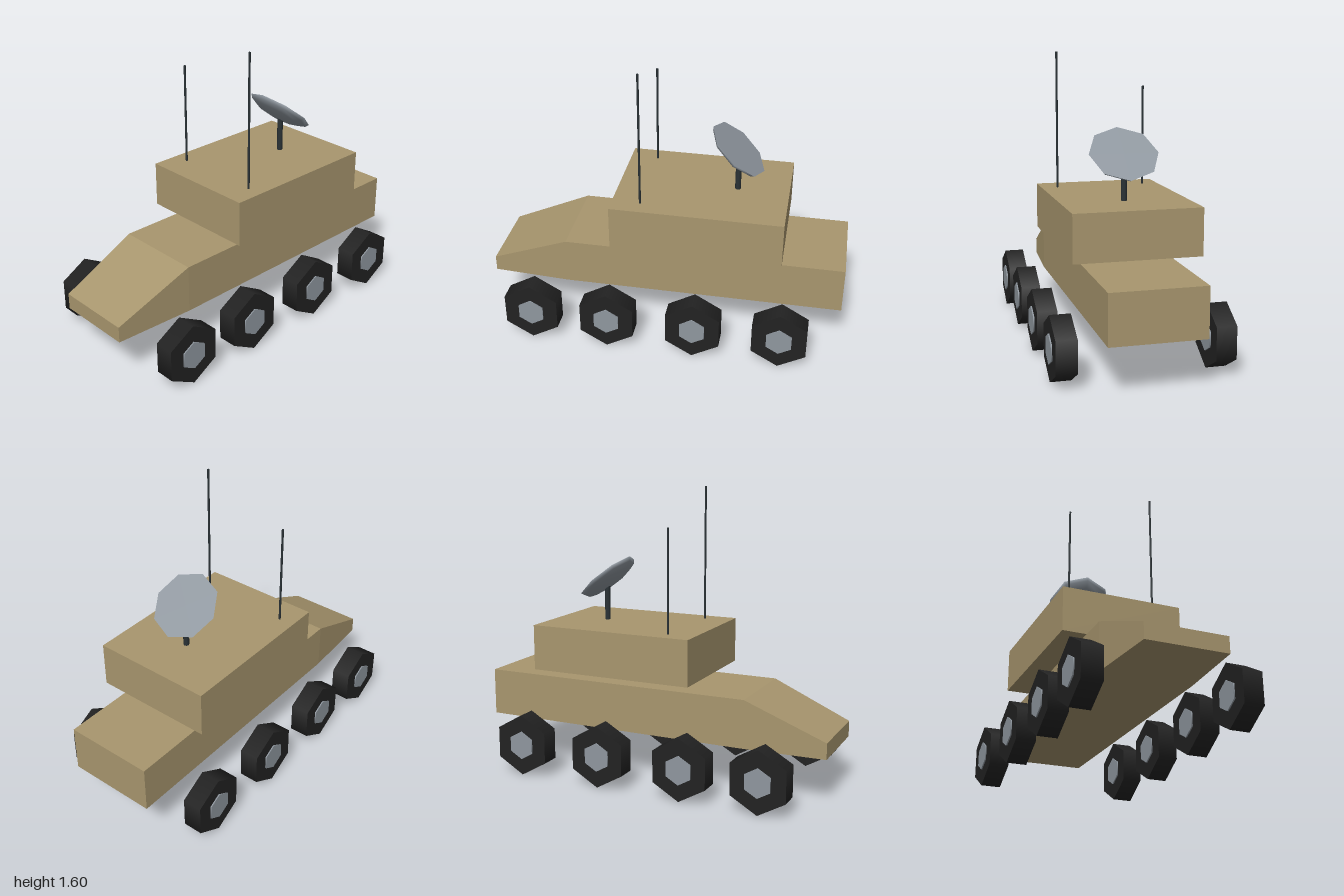
import * as THREE from 'three';

const mat = (name, color, extra = {}) => {
  const m = new THREE.MeshStandardMaterial({ color, ...extra });
  m.name = name;
  return m;
};

export function createModel() {
  const group = new THREE.Group();
  const tan = mat('tan armour', 0xa8966e, { flatShading: true });
  const rubber = mat('black rubber', 0x222222);
  const metal = mat('grey metal', 0x8f979f);
  const dark = mat('dark steel', 0x2a3236);

  const add = (name, geometry, material, x, y, z, parent = group) => {
    const mesh = new THREE.Mesh(geometry, material);
    mesh.name = name;
    mesh.position.set(x, y, z);
    parent.add(mesh);
    return mesh;
  };

  // Hull: a box whose nose slopes down and narrows
  const sections = [
    { z: -1, half: 0.25, bottom: 0.267, top: 0.53 },
    { z: 0.56, half: 0.25, bottom: 0.265, top: 0.53 },
    { z: 1, half: 0.217, bottom: 0.259, top: 0.347 },
  ];
  const hull = new THREE.BoxGeometry(2, 2, 2, 1, 1, 2);
  const p = hull.attributes.position;
  for (let i = 0; i < p.count; i++) {
    const s = sections[Math.round(p.getZ(i)) + 1];
    p.setXYZ(i, Math.sign(p.getX(i)) * s.half, p.getY(i) > 0 ? s.top : s.bottom, s.z);
  }
  hull.computeVertexNormals();
  add('hull', hull, tan, 0, 0, 0);

  // Upper cabin floating above the hull
  add('cabin', new THREE.BoxGeometry(0.68, 0.253, 0.94), tan, 0, 0.7125, -0.19);

  // Six-sided wheels with hubs showing on both faces
  const tyre = new THREE.CylinderGeometry(0.173, 0.173, 0.109, 6).rotateZ(Math.PI / 2);
  const hub = new THREE.CylinderGeometry(0.08, 0.08, 0.123, 6).rotateZ(Math.PI / 2);
  // Turn each hexagon so that a corner points straight up
  for (const g of [tyre, hub]) {
    g.computeBoundingBox();
    if (g.boundingBox.max.z > g.boundingBox.max.y) g.rotateX(Math.PI / 2);
  }
  for (const side of [1, -1]) {
    for (const z of [0.72, 0.285, -0.2, -0.68]) {
      const wheel = new THREE.Group();
      wheel.name = side > 0 ? 'leftWheel' : 'rightWheel';
      wheel.position.set(side * 0.409, 0.173, z);
      add('tyre', tyre, rubber, 0, 0, 0, wheel);
      add('hub', hub, metal, 0, 0, 0, wheel);
      group.add(wheel);
    }
  }

  // Whip antennas and dish pole
  const rod = (name, radius, x, z, top) =>
    add(name, new THREE.CylinderGeometry(radius, radius, top - 0.835, 8), dark, x, (top + 0.835) / 2, z);
  rod('leftAntenna', 0.006, 0.25, 0.125, 1.597);
  rod('rightAntenna', 0.006, -0.25, 0.125, 1.405);
  rod('dishPole', 0.016, 0, -0.375, 1.035);

  // Eight-sided dish: shallow bowl closed by a flat face, tilted to the rear
  const dish = new THREE.Group();
  dish.name = 'dish';
  dish.position.set(0, 1.087, -0.373);
  dish.rotation.x = -0.71;
  const bowl = new THREE.SphereGeometry(0.188, 8, 4, 0, Math.PI * 2, Math.PI / 2, Math.PI / 2);
  bowl.scale(1, 0.27, 1);
  add('dishBowl', bowl, metal, 0, 0, 0, dish);
  add('dishFace', new THREE.CircleGeometry(0.188, 8).rotateX(-Math.PI / 2), metal, 0, 0, 0, dish);
  group.add(dish);

  return group;
}
